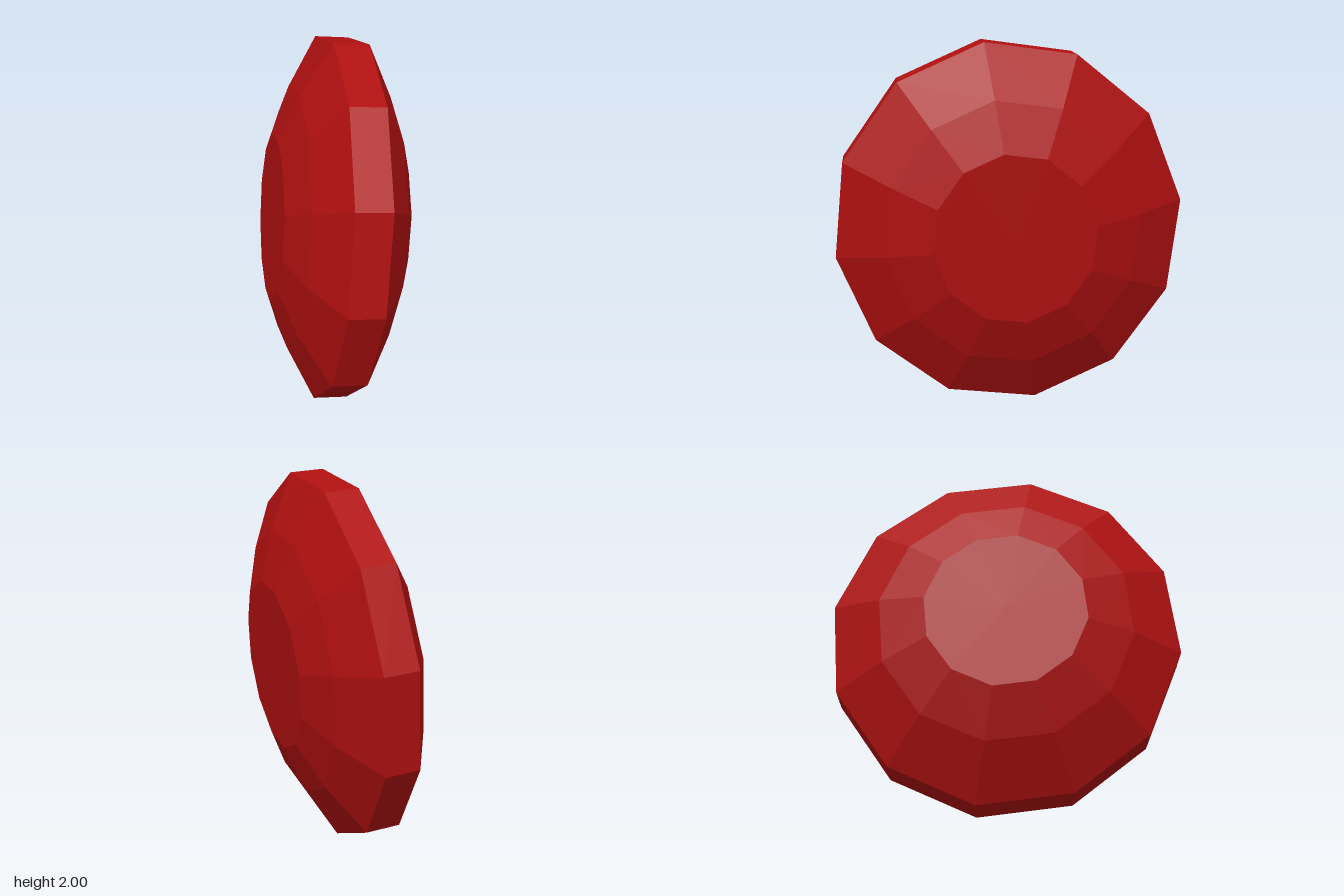
import * as THREE from 'three';

export function createModel() {
  const group = new THREE.Group();
  group.name = 'tiltedDisc';

  // Half profile: radius, distance from the middle plane
  const half = [[1, 0.092], [0.72, 0.24], [0.458, 0.33], [0, 0.33]];
  const profile = [
    ...half.map(([r, h]) => new THREE.Vector2(r, -h)).reverse(),
    ...half.map(([r, h]) => new THREE.Vector2(r, h)),
  ];

  // Twelve-sided faceted lens with a flat rim and flat caps
  const disc = new THREE.Mesh(
    new THREE.LatheGeometry(profile, 12),
    new THREE.MeshStandardMaterial({ color: 0xb01010, flatShading: true })
  );
  disc.name = 'disc';
  disc.scale.set(0.949, 1, 1.006); // slightly oval

  // Tilt: local y is the disc axis, local z points almost straight up
  const up = new THREE.Vector3(0.015, 0.986, 0.165).normalize();
  const axis = new THREE.Vector3(0.922, -0.077, 0.378).normalize();
  const side = new THREE.Vector3().crossVectors(axis, up).normalize();
  axis.crossVectors(up, side);
  disc.quaternion.setFromRotationMatrix(new THREE.Matrix4().makeBasis(side, axis, up));
  disc.position.y = 1;

  group.add(disc);
  return group;
}
